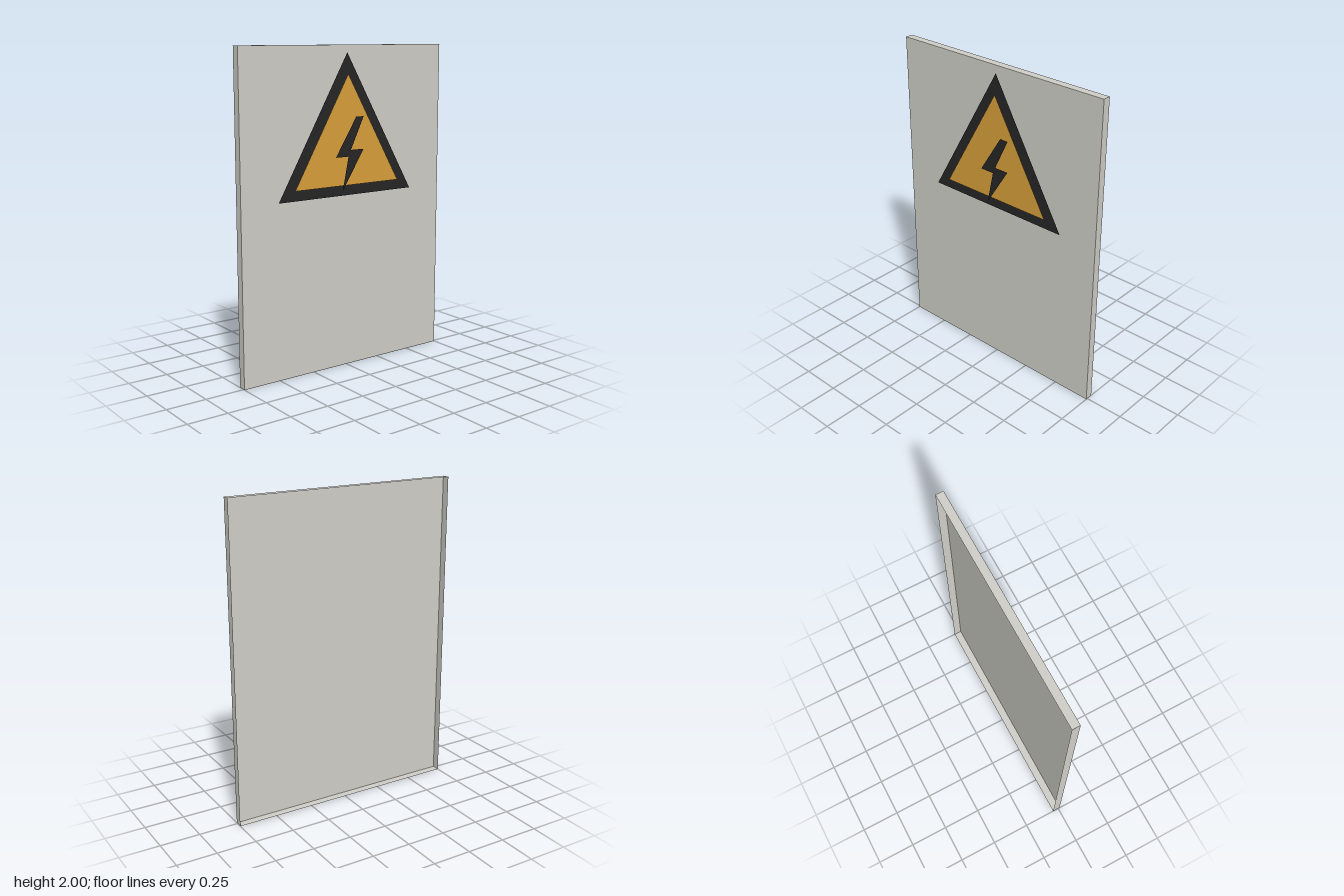
import * as THREE from 'three';

const WIDTH = 1.5, HEIGHT = 2, FRONT = 0.01, DEPTH = 0.05;

function material(name, color, side = THREE.FrontSide) {
  const m = new THREE.MeshStandardMaterial({ color, side });
  m.name = name;
  return m;
}

export function createModel() {
  const group = new THREE.Group();
  group.name = 'warningPanel';

  const grey = material('panelGrey', 0xd0cfc8, THREE.DoubleSide);
  const black = material('signBlack', 0x262626);
  const amber = material('signAmber', 0xd9a03a);

  function add(name, geometry, mat, x = 0, y = 0, z = 0) {
    const mesh = new THREE.Mesh(geometry, mat);
    mesh.name = name;
    mesh.position.set(x, y, z);
    group.add(mesh);
    return mesh;
  }

  // Sheet metal cover: a front sheet with folded edges, open at the back
  add('frontSheet', new THREE.PlaneGeometry(WIDTH, HEIGHT), grey, 0, HEIGHT / 2, FRONT);
  const midZ = FRONT - DEPTH / 2;
  for (const s of [-1, 1]) {
    const side = add(s > 0 ? 'leftEdge' : 'rightEdge',
      new THREE.PlaneGeometry(DEPTH, HEIGHT), grey, s * WIDTH / 2, HEIGHT / 2, midZ);
    side.rotation.y = s * Math.PI / 2;
    const end = add(s > 0 ? 'topEdge' : 'bottomEdge',
      new THREE.PlaneGeometry(WIDTH, DEPTH), grey, 0, s > 0 ? HEIGHT : 0, midZ);
    end.rotation.x = -s * Math.PI / 2;
  }

  // Flat sign layers, each slightly in front of the last
  function layer(name, points, mat, z) {
    const shape = new THREE.Shape(points.map(([x, y]) => new THREE.Vector2(x, y)));
    add(name, new THREE.ShapeGeometry(shape), mat, 0, 0, z);
  }
  layer('signBorder', [[-0.5, 1.09], [0.5, 1.09], [0, 1.955]], black, 0.02);
  layer('signField', [[-0.39, 1.153], [0.39, 1.153], [0, 1.828]], amber, 0.03);
  layer('lightningBolt', [
    [0.053, 1.57], [-0.1, 1.33], [-0.005, 1.33], [-0.05, 1.12],
    [0.11, 1.37], [0.013, 1.37], [0.11, 1.57],
  ], black, 0.04);

  return group;
}
